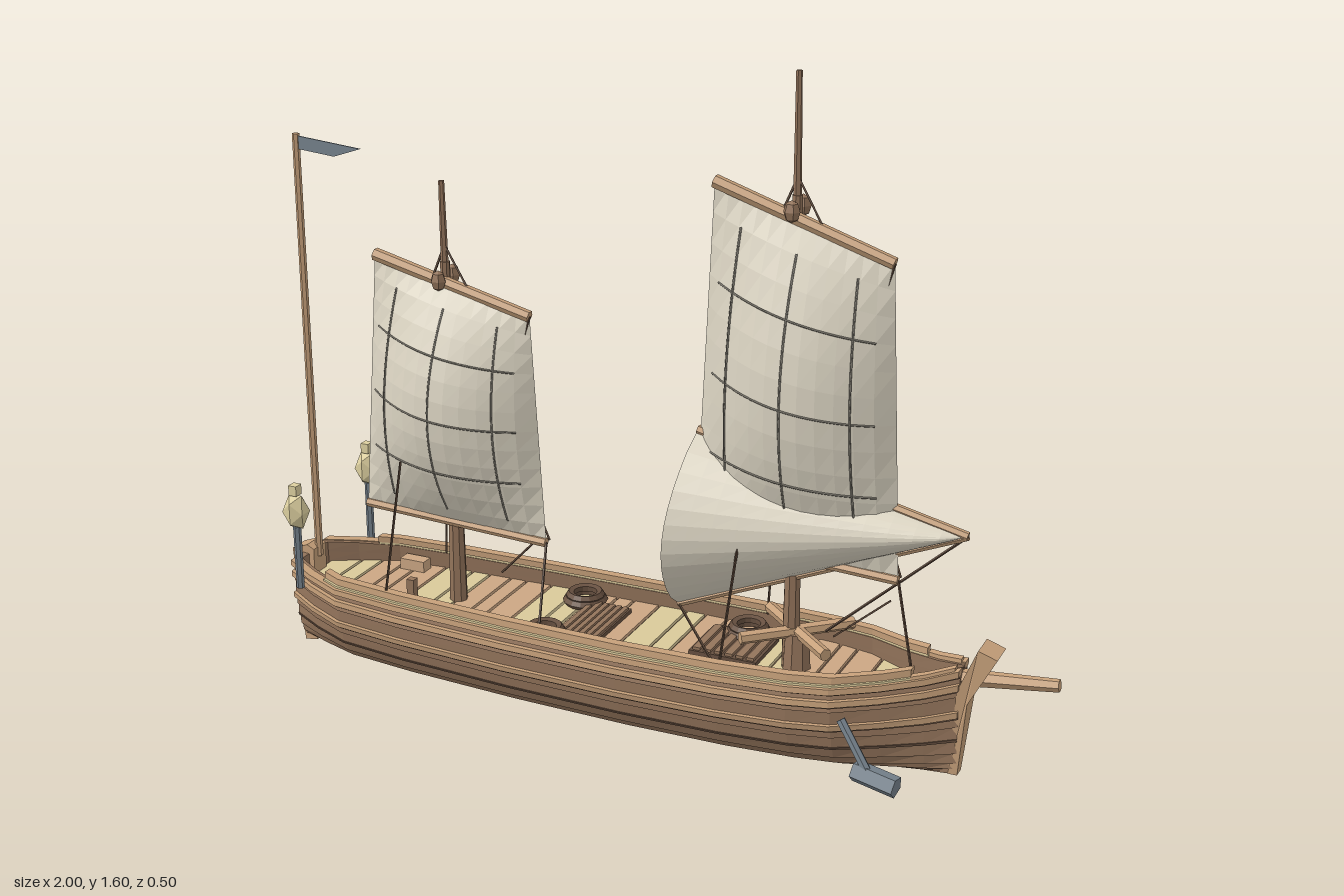
import * as THREE from 'three';

const mat = (name, color, side = THREE.FrontSide) => {
  const m = new THREE.MeshStandardMaterial({ color, side });
  m.name = name;
  return m;
};
const V = (x, y, z = 0) => new THREE.Vector3(x, y, z);

// Hull stations: x, half width, sheer height, bottom height
const STATIONS = [
  [-0.965, 0.07, 0.262, 0.03], [-0.88, 0.118, 0.256, 0.025], [-0.78, 0.16, 0.25, 0.02], [-0.6, 0.176, 0.247, 0.013],
  [-0.3, 0.188, 0.244, 0.006], [0, 0.192, 0.243, 0.003], [0.25, 0.187, 0.244, 0.004], [0.42, 0.175, 0.247, 0.008],
  [0.52, 0.155, 0.25, 0.011], [0.62, 0.103, 0.258, 0.015], [0.71, 0.057, 0.272, 0.02], [0.78, 0.02, 0.29, 0.025],
];
// Cross-section: height fraction, width fraction
const SECTION = [[0, 0.22], [0.04, 0.44], [0.1, 0.61], [0.2, 0.75], [0.33, 0.86], [0.46, 0.92], [0.6, 0.97], [0.75, 1], [1, 0.97], [1.3, 0.93]];

function lookup(table, x) {
  let i = 0;
  while (i < table.length - 2 && x > table[i + 1][0]) i++;
  const a = table[i], b = table[i + 1], k = (x - a[0]) / (b[0] - a[0]);
  return a.map((v, j) => v + (b[j] - v) * k);
}
function hullPoint(x, t, out = 0, side = 1) {
  const [, w, top, bot] = lookup(STATIONS, x);
  return V(x, bot + (top - bot) * t, side * Math.max(0.004, w * lookup(SECTION, t)[1] + out));
}
const stationsBetween = (x0, x1) => [x0, ...STATIONS.map(s => s[0]).filter(x => x > x0 + 1e-4 && x < x1 - 1e-4), x1];

// Flat-shaded loft through rings that run clockwise seen from +x
function loft(rings) {
  const p = [], tri = (...q) => q.forEach(v => p.push(v.x, v.y, v.z)), n = rings[0].length;
  for (let i = 0; i < rings.length - 1; i++)
    for (let j = 0; j < n; j++) {
      const a = rings[i][j], b = rings[i][(j + 1) % n], c = rings[i + 1][(j + 1) % n], d = rings[i + 1][j];
      tri(a, d, c, a, c, b);
    }
  const s = rings[0], e = rings[rings.length - 1];
  for (let j = 1; j < n - 1; j++) { tri(s[0], s[j], s[j + 1]); tri(e[0], e[j + 1], e[j]); }
  const g = new THREE.BufferGeometry();
  g.setAttribute('position', new THREE.Float32BufferAttribute(p, 3));
  g.computeVertexNormals();
  return g;
}
// Plank that follows one side of the hull
function band(x0, x1, t0, t1, outLow, outHigh, inner, side) {
  return loft(stationsBetween(x0, x1).map(x => {
    const r = [hullPoint(x, t0, outLow, side), hullPoint(x, t1, outHigh, side), hullPoint(x, t1, inner, side), hullPoint(x, t0, inner, side)];
    return side > 0 ? r : r.reverse();
  }));
}
// Slab that spans the hull from side to side
function span(xs, t, out, y0, y1) {
  return loft(xs.map(x => {
    const z = hullPoint(x, t, out).z;
    return [V(x, y0(x), z), V(x, y1(x), z), V(x, y1(x), -z), V(x, y0(x), -z)];
  }));
}

export function createModel() {
  const M = {
    mid: mat('hullBrown', 0x93745b), dark: mat('darkBrown', 0x675040), tan: mat('tanWood', 0xc6a07a),
    cream: mat('creamPlank', 0xd9c99a), deck: mat('deckTan', 0xcba683), sail: mat('sailCloth', 0xddd6c4, THREE.DoubleSide),
    rope: mat('rope', 0x5a4638), metal: mat('greyMetal', 0x76828c, THREE.DoubleSide), glow: mat('lanternCream', 0xdccf9f),
    seam: mat('seamGrey', 0x7d796f),
  };
  const root = new THREE.Group();
  root.name = 'sailingBoat';
  const group = name => { const g = new THREE.Group(); g.name = name; root.add(g); return g; };
  const add = (parent, name, geo, m, x = 0, y = 0, z = 0) => {
    const o = new THREE.Mesh(geo, m);
    o.name = name;
    o.position.set(x, y, z);
    parent.add(o);
    return o;
  };
  const flat = g => { const f = g.index ? g.toNonIndexed() : g; f.computeVertexNormals(); return f; };
  const box = (parent, name, w, h, d, m, x, y, z) => add(parent, name, new THREE.BoxGeometry(w, h, d), m, x, y, z);
  // Round bar between two points
  const spar = (parent, name, a, b, r0, r1, m, sides = 6) => {
    const o = add(parent, name, flat(new THREE.CylinderGeometry(r1, r0, a.distanceTo(b), sides)), m);
    o.position.copy(a).lerp(b, 0.5);
    o.quaternion.setFromUnitVectors(V(0, 1, 0), b.clone().sub(a).normalize());
    return o;
  };
  const rope = (parent, a, b) => spar(parent, 'rope', a, b, 0.0032, 0.0032, M.rope, 4);
  const plate = (parent, name, pts, depth, m) => {
    const g = new THREE.ExtrudeGeometry(new THREE.Shape(pts.map(q => new THREE.Vector2(...q))), { depth, bevelEnabled: false });
    return add(parent, name, g.translate(0, 0, -depth / 2), m);
  };

  // Hull: lapped strakes, rubbing rails and inner railing
  const hull = group('hull');
  const rows = [0, 0.04, 0.1, 0.2, 0.33, 0.46, 0.6, 0.75, 0.88, 1];
  for (const s of [1, -1]) {
    for (let i = 0; i < rows.length - 1; i++)
      add(hull, 'strake', band(-0.965, 0.78, rows[i], rows[i + 1], 0.006, 0, -0.018, s), M.mid);
    for (const [t, h, out] of [[0.56, 0.06, 0.016], [0.82, 0.06, 0.018], [0.95, 0.06, 0.02]])
      add(hull, 'rubbingRail', band(-0.965, 0.78, t, t + h, out, out, -0.006, s), M.tan);
    for (const [t, out] of [[0.32, 0.008], [0.54, 0.011], [0.8, 0.011], [0.93, 0.011]])
      add(hull, 'seamLine', band(-0.965, 0.78, t, t + 0.025, out, out, -0.004, s), M.dark);
    add(hull, 'railBase', band(-0.83, 0.68, 1.0, 1.03, 0.01, 0.01, -0.016, s), M.cream);
    add(hull, 'innerRail', band(-0.83, 0.68, 1.03, 1.1, 0.003, 0.003, -0.02, s), M.tan);
    add(hull, 'bowCheek', band(0.68, 0.77, 1.0, 1.04, 0.012, 0.01, -0.01, s), M.tan);
  }
  const bottom = x => lookup(STATIONS, x)[3];
  add(hull, 'bottom', span(stationsBetween(-0.965, 0.78), 0, 0.002, x => bottom(x) - 0.003, x => bottom(x) + 0.01), M.mid);
  add(hull, 'keel', loft(stationsBetween(-0.96, 0.78).map(x => [[0.012, -0.005], [0.012, 0.005], [-0.012, 0.005], [-0.012, -0.005]]
    .map(([z, y]) => V(x, bottom(x) + y, z)))), M.mid);
  add(hull, 'transom', loft([-0.968, -0.95].map(x => [
    ...[0, 0.2, 0.6, 1].map(t => hullPoint(x, t, -0.002)), ...[1, 0.6, 0.2, 0].map(t => hullPoint(x, t, -0.002, -1))])), M.mid);
  plate(hull, 'sternPost', [[-0.975, 0.015], [-0.94, 0.02], [-0.935, 0.275], [-0.955, 0.285], [-1, 0.268]], 0.055, M.tan);
  const stem = plate(hull, 'stemPost', [[0.76, 0.02], [0.782, 0.02], [0.8, 0.21], [0.865, 0.335], [0.82, 0.35], [0.775, 0.24]], 0.07, M.tan);
  const sp = stem.geometry.attributes.position;
  for (let i = 0; i < sp.count; i++) sp.setZ(i, sp.getZ(i) * Math.min(1, 0.4 + sp.getY(i) * 2.2));
  stem.geometry.computeVertexNormals();
  spar(hull, 'bowsprit', V(0.78, 0.262), V(0.999, 0.287), 0.02, 0.015, M.tan);

  // Deck of crosswise planks
  const deck = group('deck');
  add(deck, 'deckBase', span(stationsBetween(-0.95, 0.76), 0.8, -0.012, () => 0.185, () => 0.198), M.dark);
  const widths = [0.075, 0.05, 0.06, 0.045, 0.07], shades = [M.cream, M.deck, M.deck, M.cream, M.deck];
  for (let x = -0.945, i = 0; x < 0.72; i++) {
    const w = widths[i % 5];
    add(deck, 'plank', span(stationsBetween(x, Math.min(x + w - 0.008, 0.75)), 0.8, -0.014, () => 0.195, () => 0.206), shades[(i * 3) % 5]);
    x += w;
  }
  for (const [x, z, w, d] of [[-0.15, 0, 0.11, 0.21], [0.21, -0.03, 0.17, 0.15]]) {
    box(deck, 'hatch', w, 0.012, d, M.dark, x, 0.21, z);
    for (let i = 0; i < 6; i++) box(deck, 'hatchSlat', w * 0.11, 0.008, d * 0.92, M.mid, x + w * (i - 2.5) / 6.2, 0.219, z);
  }
  for (const [x, z] of [[-0.225, 0.11], [-0.225, -0.11], [0.215, -0.11]])
    for (const [r, y] of [[0.046, 0.217], [0.038, 0.23]])
      add(deck, 'ropeCoil', flat(new THREE.TorusGeometry(r, 0.011, 5, 14).rotateX(Math.PI / 2)), M.dark, x, y, z);
  for (const z of [0.115, -0.115]) box(deck, 'bench', 0.07, 0.03, 0.035, M.deck, -0.72, 0.22, z);
  box(deck, 'bollard', 0.02, 0.06, 0.02, M.mid, -0.63, 0.23, 0.05);

  // Capstan with crossed bars
  const capstan = group('capstan');
  add(capstan, 'drum', flat(new THREE.CylinderGeometry(0.03, 0.035, 0.09, 8)), M.mid, 0.38, 0.25, 0);
  for (const s of [1, -1]) spar(capstan, 'capstanBar', V(0.275, 0.298, -0.095 * s), V(0.485, 0.298, 0.095 * s), 0.015, 0.015, M.tan);

  // Sail surface from four corners and a belly rule
  const makeSail = (parent, name, tl, tr, br, bl, belly) => {
    const at = (u, v, off = 0) => {
      const p = tl.clone().lerp(tr, u).lerp(bl.clone().lerp(br, u), v);
      p.z += belly(u, v) + off;
      return p;
    };
    const g = new THREE.PlaneGeometry(1, 1, 12, 12), a = g.attributes.position;
    for (let i = 0; i < a.count; i++) {
      const p = at(a.getX(i) + 0.5, 0.5 - a.getY(i));
      a.setXYZ(i, p.x, p.y, p.z);
    }
    add(parent, name, flat(g), M.sail);
    return at;
  };
  const seam = (parent, at, f) => {
    const pts = Array.from({ length: 13 }, (_, i) => at(...f(0.08 + 0.84 * i / 12), 0.0015));
    add(parent, 'sailSeam', new THREE.TubeGeometry(new THREE.CatmullRomCurve3(pts), 24, 0.0026, 4), M.seam);
  };
  const sin = (k, e) => Math.pow(Math.max(0, Math.sin(Math.PI * k)), e);

  // Two masts, each with yard, boom, sail and rigging
  const rigs = [
    { name: 'foreRig', base: V(0.365, 0.19), head: V(0.355, 1.33), tip: 1.6, c: [[0.165, 1.345], [0.585, 1.205], [0.622, 0.475], [0.125, 0.5]], blocks: [1.3, 0.88] },
    { name: 'aftRig', base: V(-0.525, 0.19), head: V(-0.533, 1.08), tip: 1.275, c: [[-0.72, 1.08], [-0.302, 0.975], [-0.268, 0.408], [-0.772, 0.43]], blocks: [1.04, 0.72] },
  ];
  for (const { name, base, head, tip, c, blocks } of rigs) {
    const g = group(name), [tl, tr, br, bl] = c.map(q => V(q[0], q[1], 0.012));
    spar(g, 'mast', base, head, 0.019, 0.012, M.mid, 8);
    spar(g, 'mastFoot', base, V(base.x, 0.44), 0.023, 0.019, M.mid, 8);
    spar(g, 'topMast', V(head.x, head.y - 0.08), V(head.x - 0.003, tip), 0.01, 0.007, M.mid);
    spar(g, 'yard', tl, tr, 0.016, 0.014, M.tan);
    spar(g, 'boom', bl, br, 0.012, 0.012, M.tan);
    const at = makeSail(g, 'sail', tl, tr, br, bl, (u, v) => 0.125 * sin(u, 0.8) * sin(v, 0.85));
    for (const k of [0.18, 0.5, 0.82]) seam(g, at, s => [k, s]);
    for (const k of [0.25, 0.5, 0.73]) seam(g, at, s => [s, k]);
    blocks.forEach((y, i) => {
      for (const z of i ? [-0.034] : [-0.034, 0.034])
        add(g, 'pulley', flat(new THREE.SphereGeometry(0.022, 6, 4).scale(0.9, 1.15, 0.85)), M.mid, head.x, y, z);
    });
    const top = V(head.x, head.y - 0.06, -0.012);
    for (const s of [-1, 1]) {
      rope(g, V(head.x, head.y + 0.04, 0), tl.clone().lerp(tr, 0.5 + s * 0.12));
      rope(g, top, (s < 0 ? bl : br).clone().setZ(-0.005));
    }
    rope(g, top, V(base.x - 0.11, 0.26, -0.13));
    rope(g, V(base.x + 0.24, 0.42, 0.01), V(base.x + 0.07, 0.25, -0.1));
    rope(g, br, V(br.x + 0.055, 0.26, name === 'foreRig' ? 0.05 : 0.16));
    rope(g, V(base.x - 0.08, 0.6, 0.12), V(base.x - 0.115, 0.25, 0.16));
    rope(g, tr, V(tr.x - 0.015, tr.y - 0.06, 0.015));
  }

  // Lower three-cornered sail on the foremast
  const jib = group('lowerSail');
  const jt = V(0.13, 0.76, 0.012), jr = V(0.775, 0.605, 0.005), jb = V(0.08, 0.312, 0.005);
  spar(jib, 'upperSpar', jt, jr, 0.012, 0.011, M.tan);
  spar(jib, 'lowerSpar', jb, jr, 0.009, 0.009, M.tan);
  makeSail(jib, 'jibSail', jt, jr, jr, jb, (u, v) => 0.15 * sin(v, 0.75) * Math.pow(1 - u, 0.6));
  rope(jib, jr, V(0.45, 0.31));
  rope(jib, jb, V(0.24, 0.25, 0.16));

  // Stern pole with pennant
  const flag = group('pennantPole');
  spar(flag, 'pole', V(-0.937, 0.25), V(-0.937, 1.352), 0.01, 0.009, M.tan);
  plate(flag, 'pennant', [[-0.935, 1.347], [-0.935, 1.315], [-0.83, 1.305], [-0.755, 1.33]], 0.004, M.metal);

  // Stern lanterns and bow anchors, mirrored
  const lanterns = group('lanterns'), anchors = group('anchors');
  for (const s of [1, -1]) {
    spar(lanterns, 'lanternPost', V(-0.885, 0.235, 0.165 * s), V(-0.885, 0.4, 0.165 * s), 0.01, 0.01, M.metal);
    add(lanterns, 'lantern', new THREE.IcosahedronGeometry(0.034).scale(1, 1.5, 1), M.glow, -0.885, 0.441, 0.165 * s);
    box(lanterns, 'lanternCap', 0.022, 0.026, 0.024, M.glow, -0.885, 0.498, 0.165 * s);
    spar(anchors, 'anchorShank', V(0.56, 0.2, 0.195 * s), V(0.635, 0.1, 0.222 * s), 0.011, 0.011, M.metal);
    spar(anchors, 'anchorHead', V(0.602, 0.092, 0.212 * s), V(0.705, 0.08, 0.228 * s), 0.026, 0.026, M.metal, 5);
  }
  return root;
}
